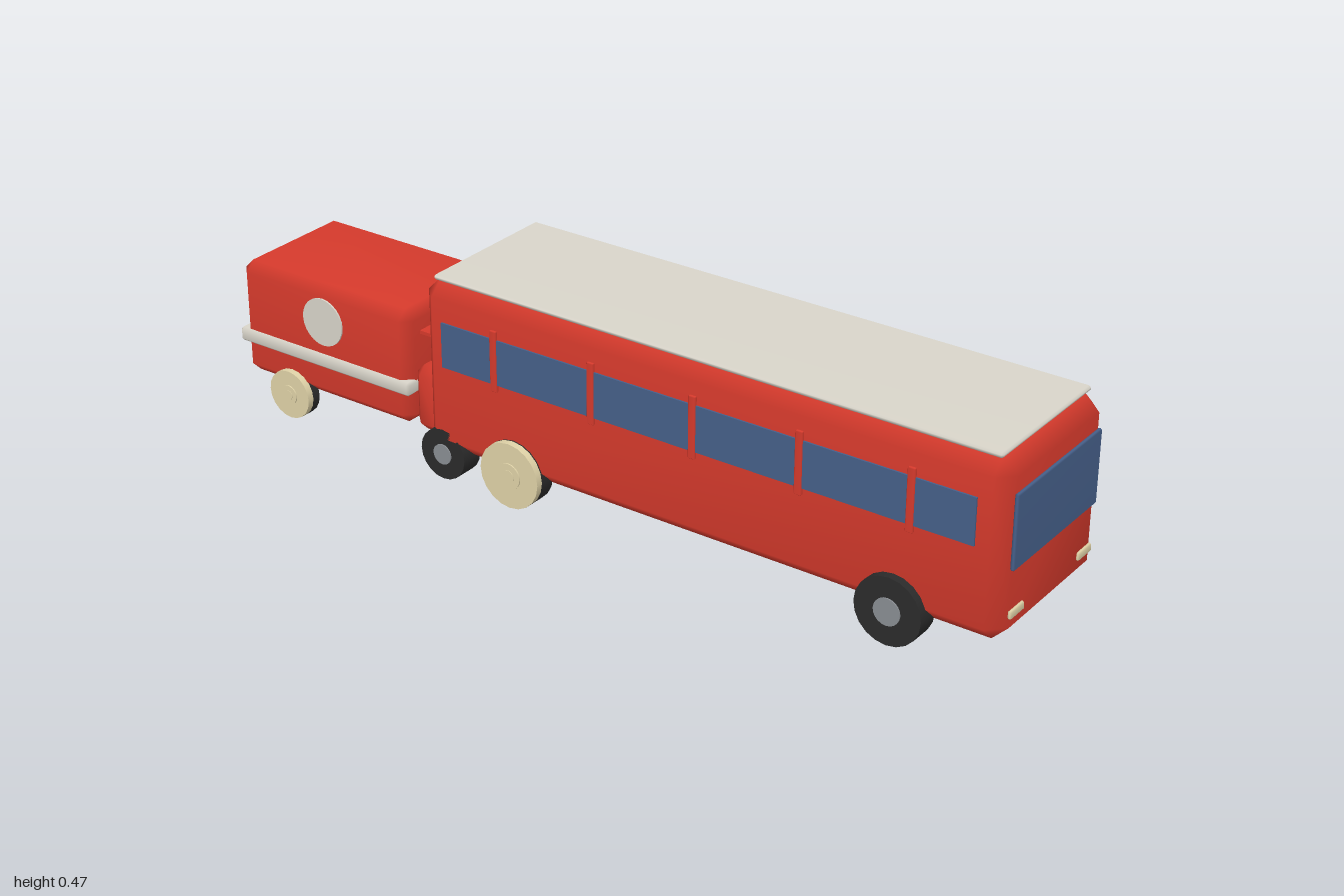
import * as THREE from 'three';
import { mergeVertices } from 'three/addons/utils/BufferGeometryUtils.js';
import { ConvexGeometry } from 'three/addons/geometries/ConvexGeometry.js';

const mat = (name, color) => {
  const m = new THREE.MeshStandardMaterial({ color });
  m.name = name;
  return m;
};

export function createModel() {
  const model = new THREE.Group();
  model.name = 'busWithTrailer';
  const red = mat('red paint', 0xd63a2c);
  const white = mat('off white', 0xd9d5ca);
  const glass = mat('blue glass', 0x46608a);
  const rubber = mat('black rubber', 0x2b2b2b);
  const steel = mat('grey steel', 0x8a8e93);
  const cream = mat('cream', 0xe0d3a8);

  const add = (name, geo, material, x = 0, y = 0, z = 0, parent = model) => {
    const mesh = new THREE.Mesh(geo, material);
    mesh.name = name;
    mesh.position.set(x, y, z);
    parent.add(mesh);
    return mesh;
  };

  // Plain box given by its extents
  const box = (name, material, x0, x1, y0, y1, z0, z1) =>
    add(name, new THREE.BoxGeometry(x1 - x0, y1 - y0, z1 - z0), material,
      (x0 + x1) / 2, (y0 + y1) / 2, (z0 + z1) / 2);

  // Box with all edges cut by c and softly blended normals
  const chamferBox = (name, material, x0, x1, y0, y1, z0, z1, c) => {
    const half = [(x1 - x0) / 2, (y1 - y0) / 2, (z1 - z0) / 2];
    const points = [];
    for (const sx of [-1, 1]) for (const sy of [-1, 1]) for (const sz of [-1, 1])
      for (let axis = 0; axis < 3; axis++) {
        const p = half.map((h, i) => (i === axis ? h : h - c));
        points.push(new THREE.Vector3(sx * p[0], sy * p[1], sz * p[2]));
      }
    let geo = new ConvexGeometry(points);
    geo.deleteAttribute('normal');
    geo = mergeVertices(geo, 1e-5);
    geo.computeVertexNormals();
    return add(name, geo, material, (x0 + x1) / 2, (y0 + y1) / 2, (z0 + z1) / 2);
  };

  // Wheel along z from inner to outer face; side is +1 or -1
  const wheel = (name, x, r, inner, outer, side, creamFace) => {
    const g = new THREE.Group();
    g.name = name;
    g.position.set(x, r, 0);
    model.add(g);
    const disc = (part, radius, a, b, material) => {
      const geo = new THREE.CylinderGeometry(radius, radius, b - a, 20).rotateX(Math.PI / 2);
      add(part, geo, material, 0, 0, side * (a + b) / 2, g);
    };
    const split = creamFace ? outer - 0.016 : outer;
    disc('tyre', r, inner, split, rubber);
    if (creamFace) disc('creamCover', r, split, outer, cream);
    disc('hub', r * 0.4, inner - 0.003, outer + 0.003, creamFace ? cream : steel);
    if (creamFace) disc('hubCentre', r * 0.2, outer, outer + 0.004, cream);
  };

  // Bus body and roof
  chamferBox('busBody', red, -0.435, 0.993, 0.063, 0.465, -0.195, 0.195, 0.035);
  chamferBox('roof', white, -0.408, 0.965, 0.463, 0.475, -0.176, 0.176, 0.004);
  box('underBar', steel, -0.285, -0.275, 0.059, 0.065, -0.14, 0.14);

  // Windscreen and headlights on the +x end
  chamferBox('windscreen', glass, 0.99, 1.0, 0.228, 0.395, -0.167, 0.167, 0.003);
  for (const s of [-1, 1])
    chamferBox('headlight', cream, 0.99, 0.999, 0.119, 0.138, s * 0.1375 - 0.027, s * 0.1375 + 0.027, 0.003);

  for (const s of [-1, 1]) {
    // Side windows with pillars
    box('sideWindow', glass, -0.373, 0.928, 0.275, 0.38, s * 0.196 - 0.003, s * 0.196 + 0.003);
    for (let i = 0; i < 5; i++) {
      const x = -0.232 + i * 0.2545;
      chamferBox('windowPillar', red, x - 0.009, x + 0.009, 0.258, 0.4, s * 0.196 - 0.005, s * 0.196 + 0.005, 0.002);
    }
    // Wheels
    wheel('busFrontWheel', 0.755, 0.077, 0.16, 0.214, s, false);
    wheel('busRearWheel', -0.185, 0.077, 0.16, 0.214, s, s > 0);
    wheel('cabWheel', -0.383, 0.06, 0.14, 0.195, s, false);
    wheel('trailerWheel', -0.85, 0.058, 0.138, 0.175, s, s > 0);
    // Round panel on the trailer side
    add('roundPanel', new THREE.CylinderGeometry(0.057, 0.057, 0.008, 24).rotateX(Math.PI / 2),
      white, -0.747, 0.263, s * 0.16);
  }

  // Small cab between bus and trailer
  chamferBox('cabBody', red, -0.495, -0.41, 0.072, 0.23, -0.16, 0.16, 0.022);
  chamferBox('cabWindow', glass, -0.467, -0.425, 0.222, 0.3, -0.13, 0.13, 0.018);
  box('cabVisor', red, -0.478, -0.425, 0.304, 0.312, -0.145, 0.145);

  // Trailer with band, rear door seam and handle
  chamferBox('trailerBody', red, -0.997, -0.503, 0.072, 0.347, -0.16, 0.16, 0.024);
  chamferBox('trailerBand', white, -1.0, -0.5, 0.15, 0.183, -0.167, 0.167, 0.006);
  box('doorSeam', rubber, -0.9995, -0.99, 0.095, 0.322, -0.003, 0.003);
  box('doorHandle', rubber, -1.0, -0.99, 0.196, 0.216, -0.043, -0.02);
  return model;
}
